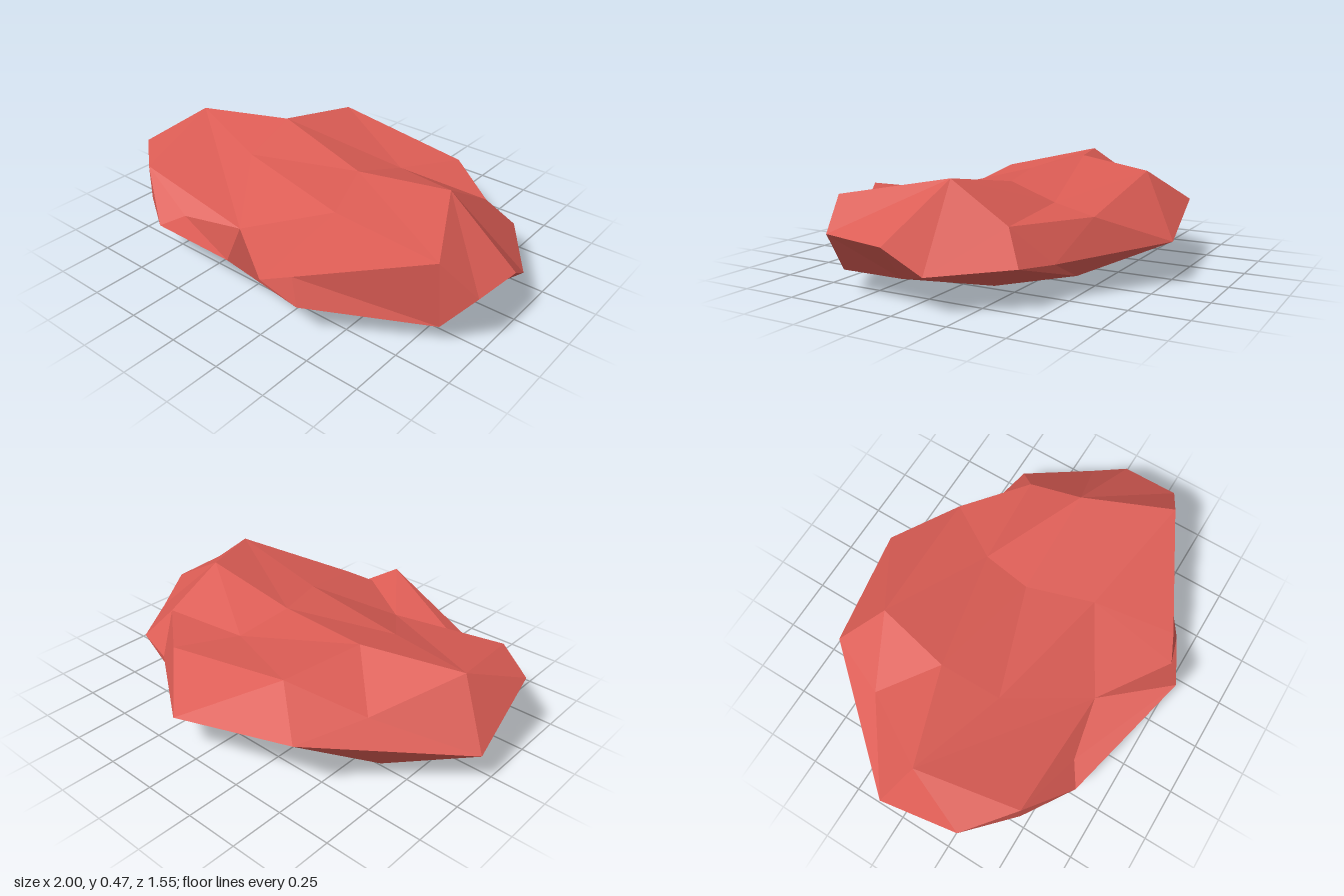
import * as THREE from 'three';

// Corner points, grouped by the loop they mainly belong to
const p = {
  // underside
  d0: [-0.65, 0.06, -0.3], d1: [-0.14, 0.01, -0.38], d2: [0.46, 0.0, -0.13],
  d3: [0.42, 0.045, 0.35], u: [-0.13, 0.13, 0.39],
  // lower edge
  b0: [0.09, 0.19, -0.78], b1: [-0.49, 0.27, -0.66], l: [-1, 0.165, -0.1],
  f1b: [-0.73, 0.155, 0.47], f2: [-0.5, 0.163, 0.62], f7: [0.38, 0.155, 0.67],
  s3: [0.85, 0.1, 0.35], s4: [0.82, 0.09, 0.08], s2: [0.96, 0.155, -0.12],
  s5: [0.75, 0.175, -0.41], s7: [0.41, 0.08, -0.49],
  // upper edge, with the jutting front tip
  f0: [-0.95, 0.33, 0.29], f1: [-0.73, 0.33, 0.47], f3: [-0.4, 0.22, 0.55],
  tip: [0.11, 0.32, 0.775], f5: [0.22, 0.24, 0.71], f6: [0.34, 0.275, 0.65],
  s0: [0.99, 0.28, 0.31], s1: [1, 0.26, 0.04], s6: [0.55, 0.155, -0.46],
  // shoulder
  b2: [-0.62, 0.31, -0.36], t0: [-0.83, 0.44, 0], f4: [-0.11, 0.24, 0.49],
  t9: [0.25, 0.36, 0.27], t4: [0.84, 0.41, 0.37], t3: [0.63, 0.475, -0.03],
  t8: [0.65, 0.31, -0.31], t6: [0.36, 0.32, -0.54], t5: [-0.3, 0.42, -0.51],
  // crown
  t1: [-0.39, 0.46, -0.14], t10: [-0.37, 0.38, 0.14], t2: [0.14, 0.395, -0.03],
  t7: [0.2, 0.33, -0.28],
};

// Closed loops from bottom to top; neighbours may share corners
const loop = (names) => names.split(' ').map((n) => p[n]);
const underside = loop('d1 d0 u d3 d2');
const lowerEdge = loop('b0 b1 l f1b f2 tip f7 s3 s4 s2 s5 s7');
const upperEdge = loop('b0 b1 l f0 f1 f3 tip f5 f6 t4 s0 s1 s2 s5 s6');
const shoulder = loop('t5 b2 t0 f4 t9 t4 t3 t8 t6');
const crown = loop('t1 t10 t2 t7');

export function createModel() {
  const positions = [];
  // Adds one facet, skipping those that collapse at a shared corner
  const tri = (a, b, c, flip) => {
    if (a === b || b === c || a === c) return;
    positions.push(...a, ...(flip ? c : b), ...(flip ? b : c));
  };
  // Joins two loops: each inner corner fans over spans[i] outer edges
  const strip = (inner, outer, spans, flip, start = 0) => {
    const at = (j) => outer[(j + outer.length) % outer.length];
    let j = start;
    inner.forEach((pivot, i) => {
      for (let k = 0; k < spans[i]; k++, j++) tri(at(j), at(j + 1), pivot, flip);
      tri(at(j), inner[(i + 1) % inner.length], pivot, flip);
    });
  };
  const cap = (ring, flip) => {
    for (let i = 1; i < ring.length - 1; i++) tri(ring[0], ring[i], ring[i + 1], flip);
  };

  cap(underside, true);
  strip(underside, lowerEdge, [2, 2, 3, 2, 3], true, -1);
  strip(lowerEdge, upperEdge, [1, 1, 1, 1, 1, 2, 1, 2, 1, 2, 1, 1], true);
  strip(shoulder, upperEdge, [1, 1, 2, 3, 2, 1, 2, 2, 1], false);
  strip(crown, shoulder, [2, 2, 2, 3], false);
  cap(crown, false);

  const geometry = new THREE.BufferGeometry();
  geometry.setAttribute('position', new THREE.Float32BufferAttribute(positions, 3));
  geometry.computeVertexNormals();

  const material = new THREE.MeshStandardMaterial({ color: 0xdb5c54, flatShading: true });
  material.name = 'coral red';

  const rock = new THREE.Mesh(geometry, material);
  rock.name = 'rock';
  const group = new THREE.Group();
  group.name = 'flatRock';
  group.add(rock);
  return group;
}
